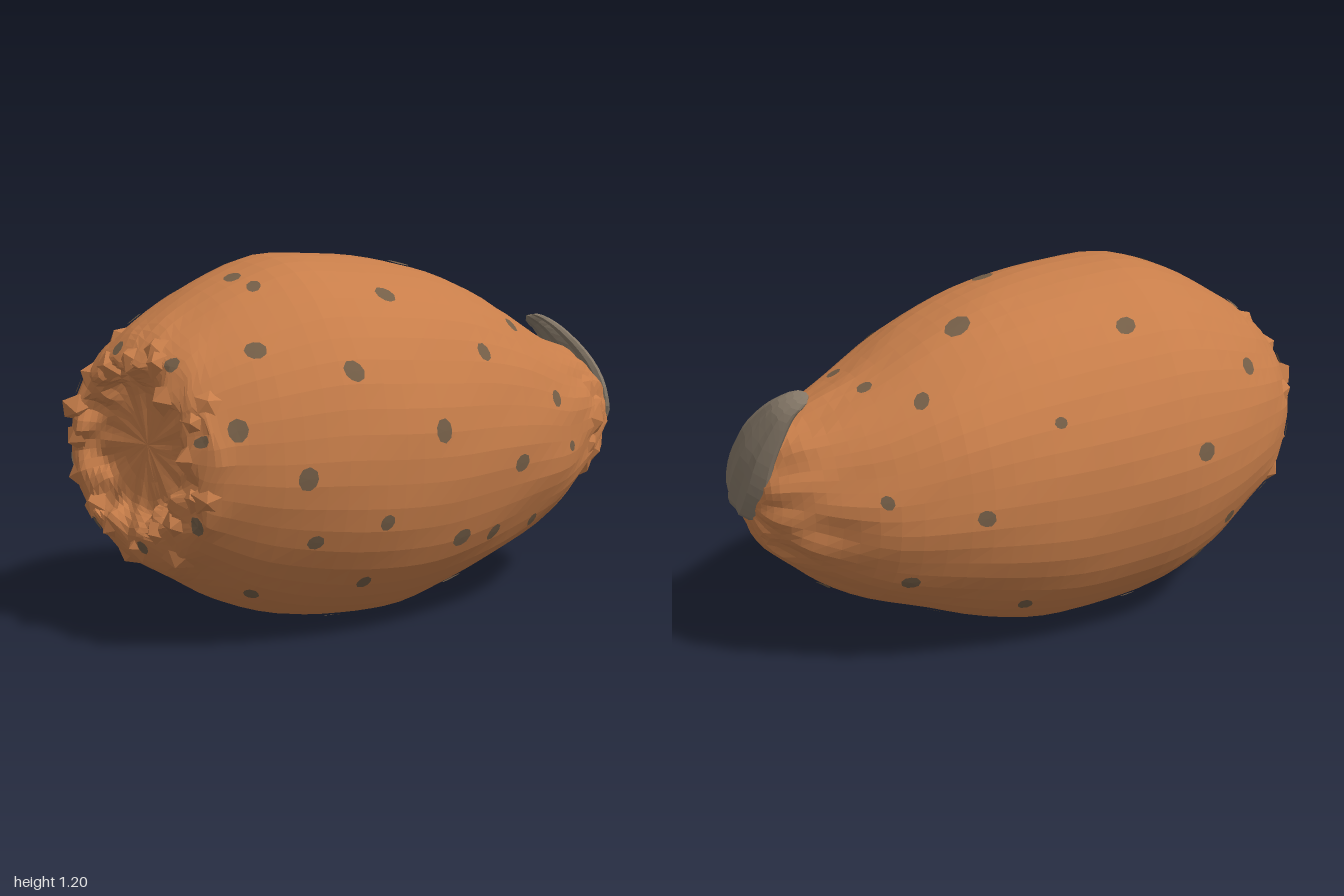
import * as THREE from 'three';

const skin = new THREE.MeshStandardMaterial({ color: 0xc87e4a, flatShading: true });
skin.name = 'orange skin';
const bark = new THREE.MeshStandardMaterial({ color: 0x847767, flatShading: true });
bark.name = 'grey bark';
const areole = new THREE.MeshStandardMaterial({ color: 0x745e47, flatShading: true, side: THREE.DoubleSide });
areole.name = 'brown areole';

// Fruit cross-sections: x, top, bottom, back z, front z, tilt, roughness
const SECTIONS = [
  [-0.86, 0.64, 0.64, 0.11, 0.11, 0.28, 0],
  [-0.865, 0.80, 0.47, -0.05, 0.27, 0.28, 0.006],
  [-0.885, 0.85, 0.42, -0.10, 0.32, 0.28, 0.014],
  [-0.92, 0.89, 0.37, -0.14, 0.36, 0.28, 0.018],
  [-0.905, 0.93, 0.32, -0.20, 0.405, 0.26, 0.018],
  [-0.85, 0.985, 0.25, -0.30, 0.44, 0.14, 0.012],
  [-0.75, 1.05, 0.19, -0.40, 0.465, 0.03, 0.006],
  [-0.6, 1.13, 0.10, -0.485, 0.515, 0, 0.003],
  [-0.4, 1.20, 0.03, -0.555, 0.555, 0, 0.002],
  [-0.2, 1.197, 0.005, -0.567, 0.56, 0, 0.002],
  [0, 1.175, 0.003, -0.56, 0.53, 0, 0.002],
  [0.2, 1.13, 0.045, -0.545, 0.485, 0, 0.002],
  [0.4, 1.045, 0.115, -0.51, 0.43, 0, 0.003],
  [0.6, 0.93, 0.19, -0.43, 0.335, 0, 0.003],
  [0.75, 0.86, 0.275, -0.33, 0.235, 0, 0.005],
  [0.85, 0.815, 0.35, -0.26, 0.17, 0, 0.007],
  [0.92, 0.75, 0.42, -0.19, 0.12, 0, 0.006],
  [0.95, 0.67, 0.50, -0.12, 0.07, 0, 0.003],
  [0.955, 0.59, 0.59, -0.03, -0.03, 0, 0],
];

// Stem cross-sections: centre x, y, z, half width, half thickness
const STEM = [
  [0.955, 0.535, 0.01, 0.002, 0.002],
  [0.958, 0.55, 0.01, 0.09, 0.032],
  [0.955, 0.61, -0.01, 0.125, 0.036],
  [0.948, 0.68, -0.045, 0.128, 0.034],
  [0.93, 0.76, -0.09, 0.105, 0.032],
  [0.895, 0.84, -0.14, 0.075, 0.03],
  [0.865, 0.89, -0.175, 0.05, 0.028],
  [0.825, 0.92, -0.195, 0.034, 0.022],
  [0.80, 0.93, -0.2, 0.002, 0.002],
];

// Smooth interpolation through the rows of a section table
function sample(rows, s) {
  const n = rows.length - 1;
  s = Math.min(Math.max(s, 0), n);
  const i = Math.min(Math.floor(s), n - 1), f = s - i;
  const a = rows[Math.max(i - 1, 0)], b = rows[i], c = rows[i + 1], d = rows[Math.min(i + 2, n)];
  return b.map((p, k) => p + 0.5 * f * (c[k] - a[k]
    + f * (2 * a[k] - 5 * p + 4 * c[k] - d[k] + f * (3 * (p - c[k]) + d[k] - a[k]))));
}

function fruitPoint(s, t) {
  const [x, top, bot, back, front, tilt, rough] = sample(SECTIONS, s);
  const wave = rough * (Math.sin(9 * t + 1.3 * s) + 0.7 * Math.sin(14 * t - 2.1 * s) + 0.5 * Math.sin(5 * t + 2.7 * s));
  const z = (back + front) / 2 + ((front - back) / 2 + wave * 0.6) * Math.cos(t);
  const y = (top + bot) / 2 + ((top - bot) / 2 + wave * 0.6) * Math.sin(t);
  return new THREE.Vector3(x + tilt * (z - 0.11) + wave * 0.5, y, z);
}

function stemPoint(s, t) {
  const [x, y, z, w, d] = sample(STEM, s);
  const across = w * Math.sin(t);
  const groove = 1 + 0.14 * Math.cos(9 * t);
  const cup = across * across * 1.2;
  return new THREE.Vector3(x + d * groove * Math.cos(t) - cup, y + across * 0.5, z + across * 0.865);
}

// Closed tube surface from a point rule
function loft(point, length, rows, cols) {
  const pos = [], idx = [];
  for (let i = 0; i <= rows; i++)
    for (let j = 0; j < cols; j++)
      pos.push(...point(length * i / rows, 2 * Math.PI * j / cols).toArray());
  for (let i = 0; i < rows; i++)
    for (let j = 0; j < cols; j++) {
      const k = (j + 1) % cols, a = i * cols, b = a + cols;
      idx.push(a + j, b + j, b + k, a + j, b + k, a + k);
    }
  return surface(pos, idx);
}

function surface(pos, idx) {
  const g = new THREE.BufferGeometry();
  g.setAttribute('position', new THREE.Float32BufferAttribute(pos, 3));
  g.setIndex(idx);
  g.computeVertexNormals();
  return g;
}

// Position, normal and tangent lengths on the fruit
function frame(s, t) {
  const e = 0.02;
  const ds = fruitPoint(s + e, t).sub(fruitPoint(s - e, t)).divideScalar(2 * e);
  const dt = fruitPoint(s, t + e).sub(fruitPoint(s, t - e)).divideScalar(2 * e);
  return { p: fruitPoint(s, t), n: ds.clone().cross(dt).normalize(), ls: ds.length(), lt: dt.length() };
}

function stationAt(x) {
  let i = 4;
  while (i < SECTIONS.length - 2 && SECTIONS[i + 1][0] < x) i++;
  return i + (x - SECTIONS[i][0]) / (SECTIONS[i + 1][0] - SECTIONS[i][0]);
}

// Thin patch that follows the skin
function spotGeometry(s, t, r) {
  const { ls, lt } = frame(s, t), pos = [], idx = [], sides = 9;
  const put = (u, v) => pos.push(...fruitPoint(u, v).addScaledVector(frame(u, v).n, 0.006).toArray());
  put(s, t);
  for (let k = 0; k < sides; k++) {
    const a = 2 * Math.PI * k / sides, q = r * (1 + 0.1 * Math.sin(2 * a + s * 5));
    put(s + q * Math.cos(a) / ls, t + q * Math.sin(a) / lt);
    idx.push(0, k + 1, (k + 1) % sides + 1);
  }
  return surface(pos, idx);
}

export function createModel() {
  const model = new THREE.Group();
  model.name = 'cactusFruit';
  const add = (name, geometry, material) => {
    const m = new THREE.Mesh(geometry, material);
    m.name = name;
    model.add(m);
    return m;
  };

  add('fruitBody', loft(fruitPoint, SECTIONS.length - 1, 54, 48), skin);
  add('driedStem', loft(stemPoint, STEM.length - 1, 18, 18), bark);

  // Low pointed bump standing on the skin
  const bump = (name, s, t, r, h) => {
    const { p, n } = frame(s, t);
    const m = add(name, new THREE.ConeGeometry(r, h, 5), skin);
    m.position.copy(p).addScaledVector(n, h * 0.15);
    m.quaternion.setFromUnitVectors(new THREE.Vector3(0, 1, 0), n);
  };

  // Areoles on the front and back: x, height, optional radius
  const front = [[-0.14, 1.08], [-0.63, 0.94, 0.032], [-0.36, 0.875], [0.18, 0.89, 0.03], [0.41, 0.95, 0.026],
    [-0.73, 0.72], [-0.06, 0.675, 0.036], [0.51, 0.71, 0.03], [-0.53, 0.57], [0.3, 0.53, 0.032], [0.6, 0.54, 0.02],
    [-0.26, 0.41, 0.026], [-0.48, 0.365, 0.026], [0.07, 0.31, 0.036], [0.23, 0.3, 0.03], [0.45, 0.3, 0.026],
    [-0.27, 0.2, 0.026], [-0.6, 0.18, 0.028], [0.24, 0.09], [-0.23, 0.03, 0.03]];
  const back = [[0.63, 0.62, 0.022], [0.1, 0.82, 0.02], [-0.41, 0.66], [0.36, 0.56, 0.028], [-0.8, 0.39, 0.03],
    [-0.6, 0.36, 0.028], [0.55, 0.34, 0.028], [0.16, 0.19, 0.028], [-0.5, 0.24, 0.026]];
  // Areoles on the upper and lower sides: x, z, optional radius
  const upper = [[-0.67, -0.38], [-0.21, -0.37], [0.29, -0.19, 0.044], [0.48, -0.33, 0.028], [0.6, -0.17, 0.024],
    [0.62, 0.03, 0.024], [0.08, 0.05, 0.036], [-0.56, 0.11, 0.03], [-0.54, 0.21, 0.026], [-0.78, -0.11, 0.028]];
  const lower = [[0.38, -0.17, 0.026], [0.37, 0.06, 0.024], [0.01, -0.1, 0.028], [-0.31, -0.25, 0.028],
    [0.74, -0.13, 0.024], [0.69, 0.03, 0.022]];
  const angle = (v, lo, hi, f) => f(THREE.MathUtils.clamp((2 * v - lo - hi) / (hi - lo), -0.98, 0.98));
  const place = (list, rule) => list.forEach(([x, v, r = 0.034]) => {
    const s = stationAt(x);
    add('areole', spotGeometry(s, rule(v, sample(SECTIONS, s)), r), areole);
  });
  place(front, (y, c) => angle(y, c[2], c[1], Math.asin));
  place(back, (y, c) => Math.PI - angle(y, c[2], c[1], Math.asin));
  place(upper, (z, c) => angle(z, c[3], c[4], Math.acos));
  place(lower, (z, c) => -angle(z, c[3], c[4], Math.acos));

  // Knobbly crown around the hollow end, with scars between the knobs
  const knobs = 16;
  for (let i = 0; i < knobs; i++) {
    const t = 2 * Math.PI * i / knobs;
    bump('crownBump', 3.5 + 0.5 * Math.sin(i * 2.3), t, 0.05, 0.035);
    if (i % 2) bump('crownOuterBump', 5 + 0.4 * Math.sin(i * 1.7), t + 0.1, 0.055, 0.03);
    else add('crownScar', spotGeometry(4.2 + 0.3 * Math.sin(i), t + 0.2, 0.024), areole);
  }

  // Folds in the skin beside the stem
  for (let i = 0; i < 6; i++) bump('stemFold', 14.8 + 0.4 * Math.sin(i * 2), -0.8 + i * 0.28, 0.065, 0.026);

  return model;
}
